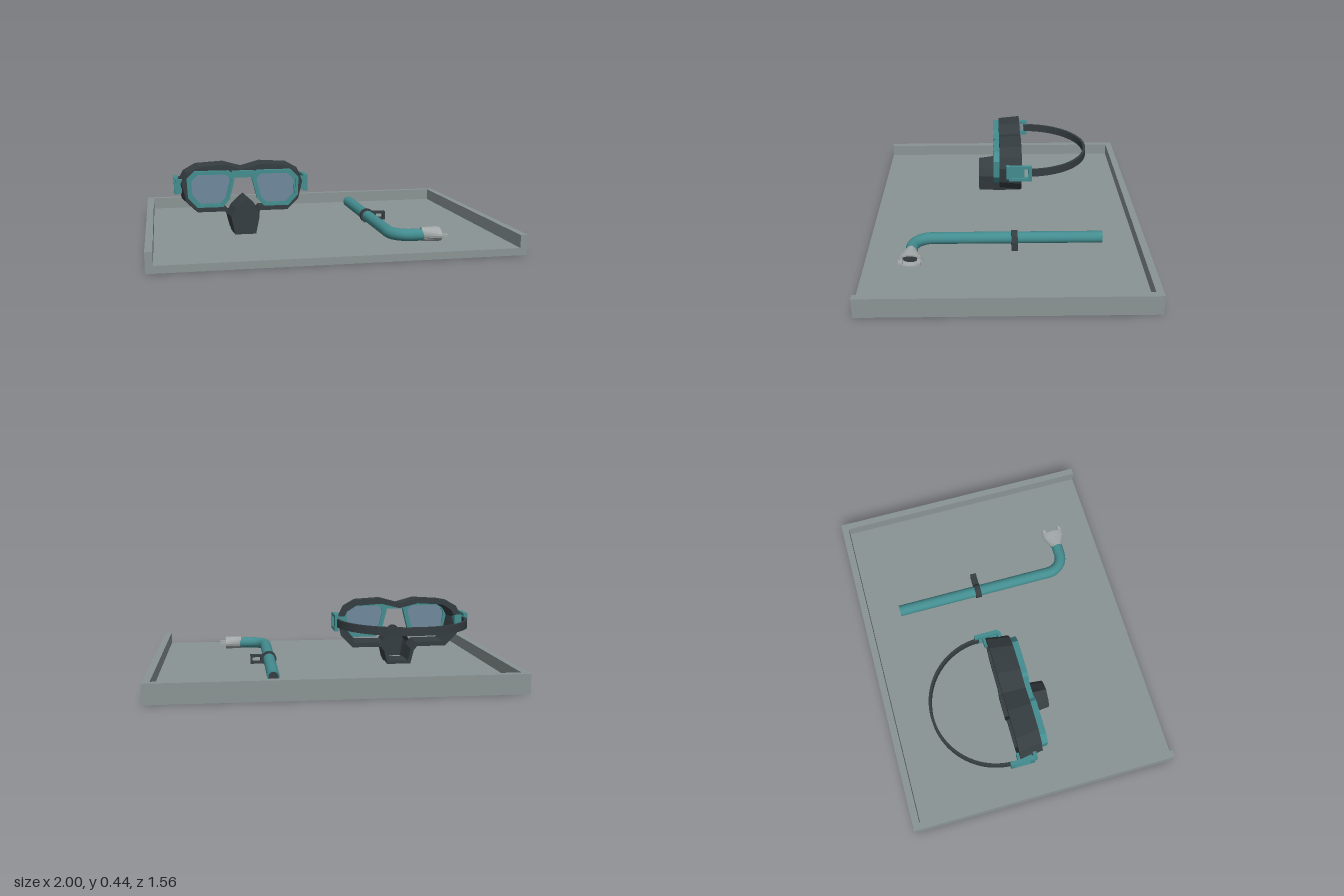
import * as THREE from 'three';

const mat = (name, color, opts = {}) => {
  const m = new THREE.MeshStandardMaterial({ color, ...opts });
  m.name = name;
  return m;
};

export function createModel() {
  const root = new THREE.Group();
  root.name = 'snorkelSetOnTray';
  const grey = mat('trayGrey', 0x8a9494);
  const teal = mat('teal', 0x438c8f, { side: THREE.DoubleSide });
  const dark = mat('darkRubber', 0x353d41, { flatShading: true, side: THREE.DoubleSide });
  const glass = mat('lensBlue', 0x6f889b);
  const pale = mat('paleGrey', 0xa3a8a8, { side: THREE.DoubleSide });

  const add = (parent, name, geo, material, x = 0, y = 0, z = 0) => {
    const m = new THREE.Mesh(geo, material);
    m.name = name;
    m.position.set(x, y, z);
    parent.add(m);
    return m;
  };
  // Box given by its minimum and maximum corners
  const box = (parent, name, material, x0, x1, y0, y1, z0, z1) =>
    add(parent, name, new THREE.BoxGeometry(x1 - x0, y1 - y0, z1 - z0), material,
      (x0 + x1) / 2, (y0 + y1) / 2, (z0 + z1) / 2);
  const toShape = (pts) => new THREE.Shape(pts.map(([x, y]) => new THREE.Vector2(x, y)));
  const plate = (pts, hole, depth) => {
    const s = toShape(pts);
    if (hole) s.holes.push(toShape(hole));
    return new THREE.ExtrudeGeometry(s, { depth, bevelEnabled: false, curveSegments: 20 });
  };
  const scaled = (pts, k, cx, cy) => pts.map(([x, y]) => [cx + (x - cx) * k, cy + (y - cy) * k]);
  // Right half from top to bottom -> closed counter-clockwise outline
  const mirrored = (half) => [...half].reverse().concat(
    half.filter(([x]) => x > 0).map(([x, y]) => [-x, y]));
  // Skin over cross-sections [outline, z]; wrap joins last to first, cap closes the last
  const loft = (sections, { wrap = false, cap = false } = {}) => {
    const n = sections[0][0].length, pos = [], idx = [];
    for (const [pts, z] of sections) for (const [x, y] of pts) pos.push(x, y, z);
    const count = sections.length;
    for (let s = 0; s < (wrap ? count : count - 1); s++) {
      const t = (s + 1) % count;
      for (let i = 0; i < n; i++) {
        const j = (i + 1) % n;
        const a = s * n + i, b = s * n + j, c = t * n + j, d = t * n + i;
        idx.push(a, b, c, a, c, d);
      }
    }
    if (cap) {
      const [pts, z] = sections[count - 1], base = (count - 1) * n;
      const ys = pts.map((p) => p[1]);
      pos.push(0, (Math.min(...ys) + Math.max(...ys)) / 2, z);
      for (let i = 0; i < n; i++) idx.push(base + i, base + (i + 1) % n, count * n);
    }
    const g = new THREE.BufferGeometry();
    g.setAttribute('position', new THREE.Float32BufferAttribute(pos, 3));
    g.setIndex(idx);
    const flat = g.toNonIndexed();
    flat.computeVertexNormals();
    return flat;
  };

  // Tray, open along the front
  const tray = new THREE.Group();
  tray.name = 'tray';
  root.add(tray);
  box(tray, 'trayFloor', grey, -1, 1, 0, 0.04, -0.78, 0.78);
  box(tray, 'trayBackWall', grey, -1, 1, 0.04, 0.11, -0.78, -0.74);
  box(tray, 'trayRightWall', grey, -1, -0.96, 0.04, 0.11, -0.74, 0.78);
  box(tray, 'trayLeftWall', grey, 0.96, 1, 0.04, 0.11, -0.74, 0.78);

  // Mask
  const mask = new THREE.Group();
  mask.name = 'mask';
  mask.position.x = -0.44;
  root.add(mask);

  const outer = mirrored([[0, 0.405], [0.11, 0.435], [0.27, 0.425], [0.34, 0.385], [0.375, 0.32],
    [0.35, 0.215], [0.28, 0.145], [0.11, 0.145], [0.09, 0.12], [0.07, 0.04]]);
  const inner = mirrored([[0, 0.375], [0.11, 0.403], [0.26, 0.393], [0.313, 0.36], [0.338, 0.315],
    [0.32, 0.23], [0.27, 0.172], [0.1, 0.17], [0.07, 0.13], [0.055, 0.06]]);
  const front = (pts) => pts.map(([x, y]) => [x * 0.94, 0.28 + (y - 0.28) * (y < 0.1 ? 1 : 0.95)]);
  add(mask, 'maskSkirt', loft([[outer, -0.105], [front(outer), 0.03], [front(inner), 0.03],
    [inner, -0.105]], { wrap: true }), dark);

  const nose = mirrored([[0, 0.255], [0.065, 0.195], [0.095, 0.145], [0.07, 0.04]]);
  const noseTip = nose.map(([x, y]) => [x * 0.86, y > 0.2 ? 0.238 : y]);
  add(mask, 'nosePocket', loft([[nose, -0.01], [nose, 0.04], [noseTip, 0.16]], { cap: true }), dark);

  // Lenses with a stepped rim
  const rim = [[0.05, 0.35], [0.08, 0.23], [0.12, 0.185], [0.265, 0.185], [0.32, 0.245],
    [0.325, 0.35], [0.28, 0.395], [0.085, 0.395], [0.06, 0.38]];
  for (const side of [1, -1]) {
    const label = side > 0 ? 'left' : 'right';
    const flip = (pts) => pts.map(([x, y]) => [x * side, y]);
    const ring = (k) => flip(scaled(rim, k, 0.19, 0.29));
    add(mask, label + 'LensFrame', plate(ring(1), ring(0.87), 0.037), teal, 0, 0, 0.03);
    add(mask, label + 'LensInnerRim', plate(ring(0.88), ring(0.8), 0.025), teal, 0, 0, 0.03);
    add(mask, label + 'Lens', plate(ring(0.82), null, 0.008), glass, 0, 0, 0.04);

    // Strap buckle: a rectangular loop, a front tab and the anchor block
    const buckle = new THREE.Group();
    buckle.name = label + 'Buckle';
    mask.add(buckle);
    const sideBox = (name, a, b, ...rest) =>
      box(buckle, name, teal, Math.min(a * side, b * side), Math.max(a * side, b * side), ...rest);
    sideBox('buckleTop', 0.372, 0.395, 0.33, 0.348, -0.165, -0.025);
    sideBox('buckleBottom', 0.372, 0.395, 0.252, 0.27, -0.165, -0.025);
    sideBox('buckleFront', 0.372, 0.395, 0.27, 0.33, -0.045, -0.025);
    sideBox('buckleBack', 0.372, 0.395, 0.27, 0.33, -0.165, -0.142);
    sideBox('buckleTab', 0.35, 0.385, 0.26, 0.342, -0.03, -0.01);
    sideBox('buckleAnchor', 0.33, 0.383, 0.27, 0.33, -0.12, -0.04);
  }
  box(mask, 'lensBridge', teal, -0.065, 0.065, 0.355, 0.393, 0.03, 0.06);

  // Head strap: half-ring band lying flat
  const band = new THREE.Shape();
  band.absarc(0, 0, 0.383, 0, Math.PI, false);
  band.absarc(0, 0, 0.367, Math.PI, 0, true);
  const strapGeo = new THREE.ExtrudeGeometry(band,
    { depth: 0.046, bevelEnabled: false, curveSegments: 32 });
  strapGeo.rotateX(-Math.PI / 2);
  add(mask, 'headStrap', strapGeo, dark, 0, 0.278, -0.143);

  // Snorkel
  const snorkel = new THREE.Group();
  snorkel.name = 'snorkel';
  root.add(snorkel);
  const y = 0.078, tubeX = 0.333, bendZ = 0.417, endZ = 0.525, r = endZ - bendZ;
  const path = new THREE.CurvePath();
  const P = (x, z) => new THREE.Vector3(x, y, z);
  const k = r * 0.5523;
  path.add(new THREE.LineCurve3(P(tubeX, -0.55), P(tubeX, bendZ)));
  path.add(new THREE.CubicBezierCurve3(P(tubeX, bendZ), P(tubeX, bendZ + k),
    P(tubeX + r - k, endZ), P(tubeX + r, endZ)));
  path.add(new THREE.LineCurve3(P(tubeX + r, endZ), P(0.51, endZ)));
  add(snorkel, 'snorkelTube', new THREE.TubeGeometry(path, 90, 0.034, 20, false), teal);
  const bore = add(snorkel, 'tubeBore', new THREE.CylinderGeometry(0.028, 0.028, 0.01, 20), dark,
    tubeX, y, -0.54);
  bore.rotation.x = Math.PI / 2;
  add(snorkel, 'tubeEndRim', new THREE.RingGeometry(0.027, 0.034, 20), teal, tubeX, y, -0.55);

  // Mouthpiece: oval funnel, widening sideways only
  const funnel = [[0.49, 0.03], [0.565, 0.066], [0.59, 0.069]];
  const oval = (w, h) => Array.from({ length: 20 }, (_, i) => {
    const a = i / 20 * Math.PI * 2;
    return [w * Math.cos(a), h * Math.sin(a)];
  });
  const sections = funnel.map(([x, w]) => [oval(w, 0.039), x]);
  sections.push([oval(0.057, 0.03), 0.59], [oval(0.045, 0.027), 0.55]);
  const mouth = add(snorkel, 'mouthpiece', loft(sections), pale, 0, y + 0.002, endZ);
  mouth.rotation.y = Math.PI / 2;
  const throat = add(snorkel, 'mouthpieceOpening', new THREE.CircleGeometry(1, 20), dark,
    0.555, y + 0.002, endZ);
  throat.scale.set(0.048, 0.029, 1);
  throat.rotation.y = Math.PI / 2;
  for (const dz of [-0.049, 0.049]) {
    box(snorkel, 'bitePeg', pale, 0.57, 0.625, y - 0.004, y + 0.008, endZ + dz - 0.01, endZ + dz + 0.01);
  }

  // Keeper clip: ring around the tube with a small square loop beside it
  const ring = new THREE.Shape();
  ring.absarc(0, 0, 0.043, 0, Math.PI * 2, false);
  const hole = new THREE.Path();
  hole.absarc(0, 0, 0.033, 0, Math.PI * 2, true);
  ring.holes.push(hole);
  add(snorkel, 'clipRing', new THREE.ExtrudeGeometry(ring,
    { depth: 0.036, bevelEnabled: false, curveSegments: 16 }), dark, tubeX, y, -0.066);
  const rect = (a, b, h) => [[a, -h], [b, -h], [b, h], [a, h]];
  add(snorkel, 'clipLoop', plate(rect(0.037, 0.11, 0.026), rect(0.052, 0.097, 0.013), 0.036),
    dark, tubeX, y, -0.066);

  return root;
}
